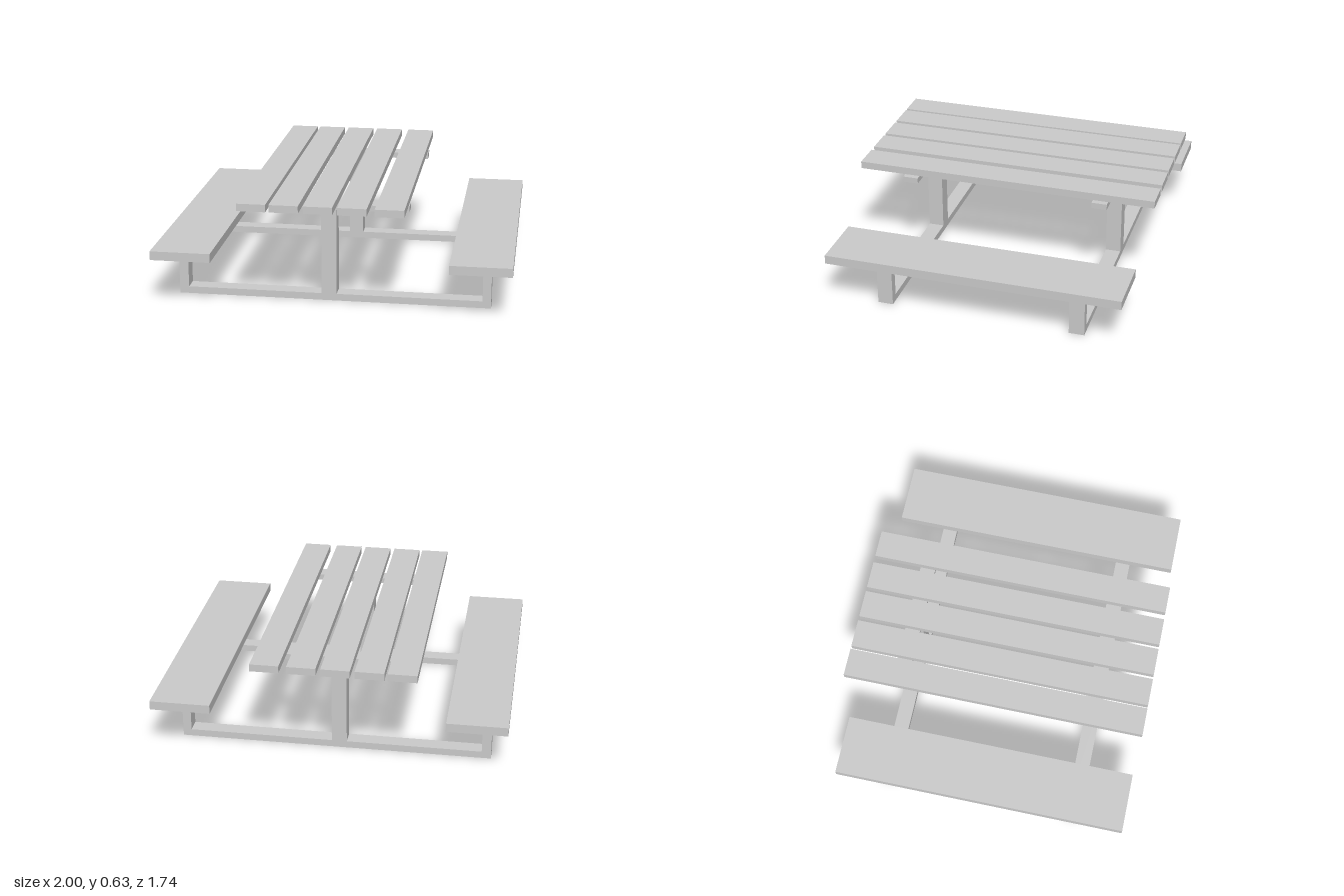
import * as THREE from 'three';

const material = new THREE.MeshStandardMaterial({ color: 0xcccccc, flatShading: true });

// Box given by its lower and upper limits on each axis
function board(name, [x0, x1], [y0, y1], [z0, z1]) {
  const mesh = new THREE.Mesh(new THREE.BoxGeometry(x1 - x0, y1 - y0, z1 - z0), material);
  mesh.name = name;
  mesh.position.set((x0 + x1) / 2, (y0 + y1) / 2, (z0 + z1) / 2);
  return mesh;
}

// One-piece support: floor beam, two bench uprights, centre post and table crossbar
function frameGeometry(depth) {
  const outline = [
    [-0.903, 0], [0.878, 0], [0.878, 0.273], [0.83, 0.273], [0.83, 0.04],
    [0.006, 0.04], [0.006, 0.539], [0.413, 0.539], [0.413, 0.572],
    [-0.486, 0.572], [-0.486, 0.539], [-0.08, 0.539], [-0.08, 0.04],
    [-0.85, 0.04], [-0.85, 0.273], [-0.903, 0.273],
  ];
  const shape = new THREE.Shape(outline.map(([x, y]) => new THREE.Vector2(x, y)));
  return new THREE.ExtrudeGeometry(shape, { depth, bevelEnabled: false });
}

export function createModel() {
  const table = new THREE.Group();
  table.name = 'picnicTable';

  // Table top slats, unevenly spaced
  const top = new THREE.Group();
  top.name = 'tableTop';
  [-0.504, -0.325, -0.138, 0.049, 0.252].forEach((x, i) => {
    top.add(board(`slat${i + 1}`, [x, x + 0.161], [0.59, 0.632], [-0.87, 0.866]));
  });
  table.add(top);

  // Bench seats on both sides
  table.add(board('rightBench', [-1, -0.66], [0.282, 0.333], [-0.828, 0.863]));
  table.add(board('leftBench', [0.657, 1], [0.282, 0.333], [-0.828, 0.863]));

  // Front and back support frames
  const geometry = frameGeometry(0.088);
  for (const [name, z] of [['frontFrame', 0.52], ['backFrame', -0.6]]) {
    const frame = new THREE.Mesh(geometry, material);
    frame.name = name;
    frame.position.z = z;
    table.add(frame);
  }
  return table;
}
